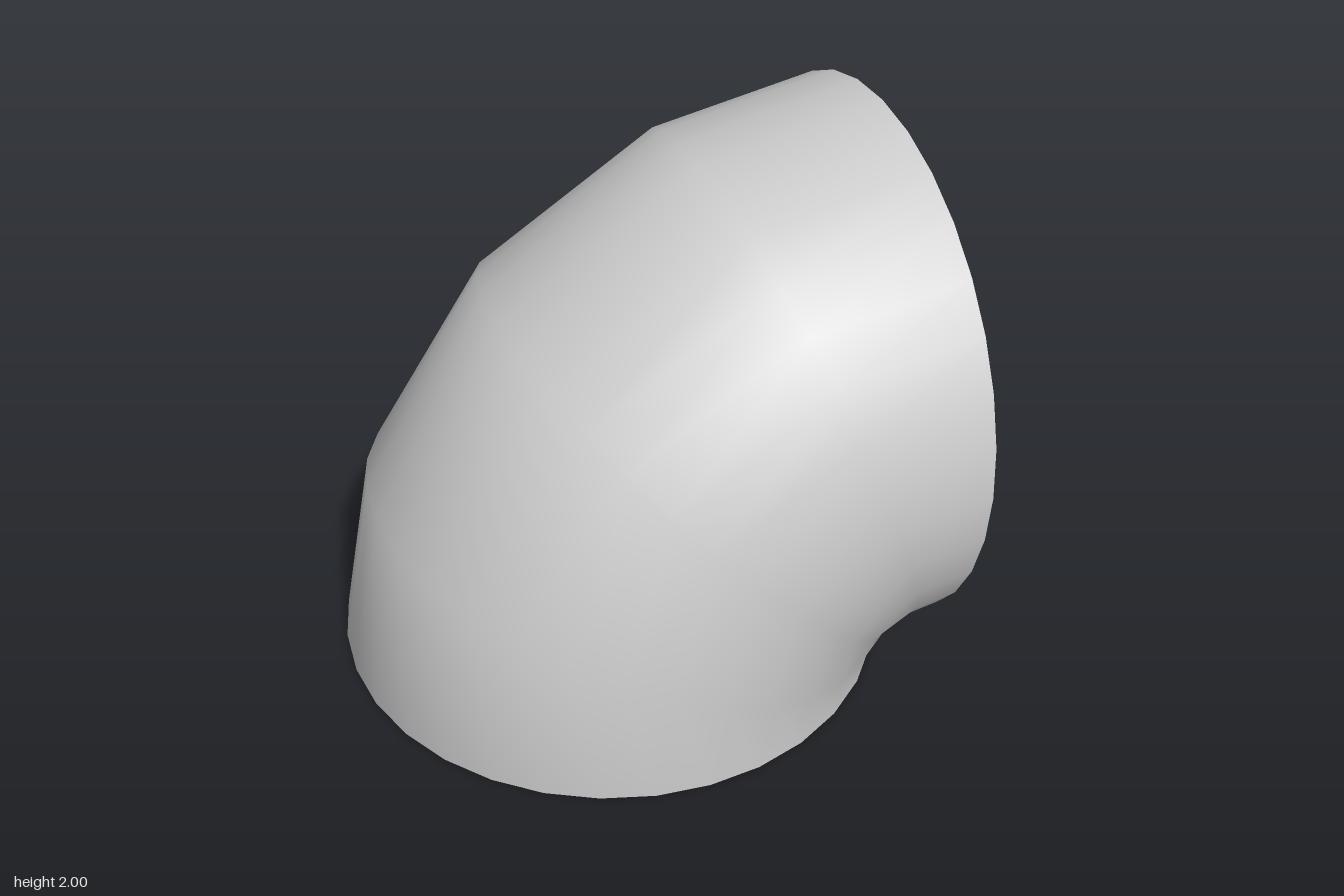
import * as THREE from 'three';

const SIDES = 32;
const RINGS = [0, 20, 45, 70, 90]; // bend angles in degrees

export function createModel() {
  const group = new THREE.Group();
  group.name = 'pipeElbow';
  const material = new THREE.MeshStandardMaterial({ color: 0xcccccc });

  // Quarter bend whose tube radius equals its bend radius
  const steps = RINGS.length - 1;
  const bend = new THREE.TorusGeometry(1, 1, SIDES, steps, Math.PI / 2);
  const axis = new THREE.Vector3(0, 0, 1);
  const v = new THREE.Vector3();
  for (const attribute of [bend.attributes.position, bend.attributes.normal]) {
    for (let i = 0; i < attribute.count; i++) {
      // Shift each ring from even spacing to its own angle, then swing to the left quarter
      const ring = i % (steps + 1);
      const turn = 90 + RINGS[ring] - (ring * 90) / steps;
      v.fromBufferAttribute(attribute, i).applyAxisAngle(axis, THREE.MathUtils.degToRad(turn));
      attribute.setXYZ(i, v.x, v.y, v.z);
    }
  }
  bend.translate(1, 0, 0);

  // Flat round ends
  const bottom = new THREE.CircleGeometry(1, SIDES).rotateX(Math.PI / 2);
  const side = new THREE.CircleGeometry(1, SIDES).rotateY(Math.PI / 2).translate(1, 1, 0);

  for (const [name, geometry] of Object.entries({ bend, bottomCap: bottom, sideCap: side })) {
    const mesh = new THREE.Mesh(geometry, material);
    mesh.name = name;
    group.add(mesh);
  }
  return group;
}
